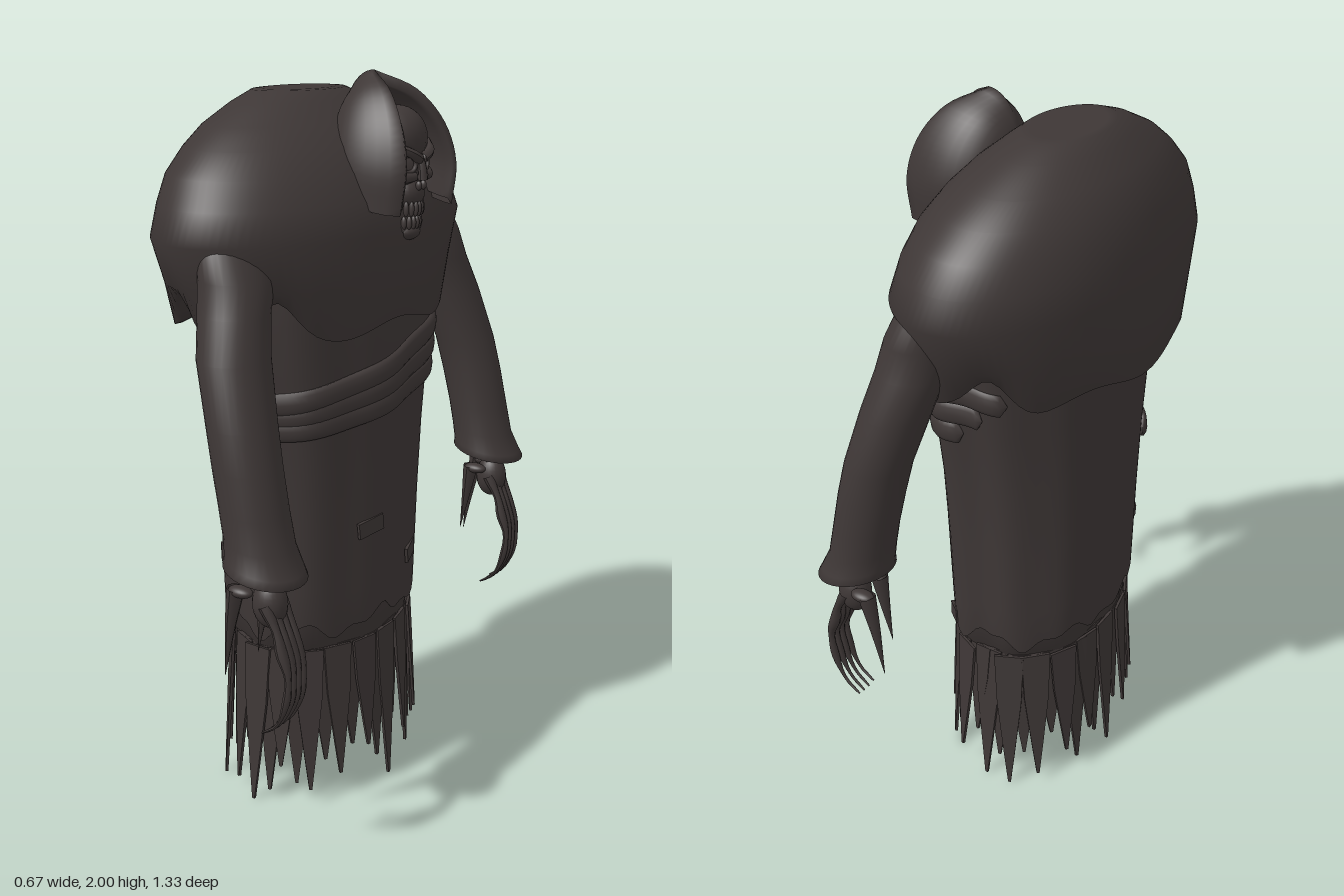
import * as THREE from 'three';

const V = (x, y, z) => new THREE.Vector3(x, y, z);
const TAU = Math.PI * 2;

// Skin a list of point rows; closed joins the last column to the first
function loft(rows, closed = true) {
  const n = rows[0].length, pos = [], index = [];
  rows.forEach(r => r.forEach(p => pos.push(p.x, p.y, p.z)));
  for (let j = 0; j < rows.length - 1; j++) {
    for (let i = 0; i < (closed ? n : n - 1); i++) {
      const k = (i + 1) % n, a = j * n + i, b = j * n + k, c = a + n, d = b + n;
      index.push(a, c, b, b, c, d);
    }
  }
  const g = new THREE.BufferGeometry();
  g.setAttribute('position', new THREE.Float32BufferAttribute(pos, 3));
  g.setIndex(index);
  g.computeVertexNormals();
  return g;
}
// One loop of points, f(angle); angle 0 is +x and a quarter turn is +z
const ring = (n, f) => Array.from({ length: n }, (_, i) => f(i / n * TAU));

// Tube whose radius follows a rule along its length
function taperTube(points, radius, seg = 18, sides = 8) {
  const curve = new THREE.CatmullRomCurve3(points);
  const g = new THREE.TubeGeometry(curve, seg, 1, sides, false);
  const p = g.attributes.position, v = V();
  for (let i = 0; i < p.count; i++) {
    const t = Math.floor(i / (sides + 1)) / seg, c = curve.getPointAt(t);
    v.fromBufferAttribute(p, i).sub(c).multiplyScalar(radius(t)).add(c);
    p.setXYZ(i, v.x, v.y, v.z);
  }
  g.computeVertexNormals();
  return g;
}

// Piecewise linear lookup in [key, value...] rows
function sample(table, y) {
  let i = 0;
  while (i < table.length - 2 && y > table[i + 1][0]) i++;
  const a = table[i], b = table[i + 1];
  const t = THREE.MathUtils.clamp((y - a[0]) / (b[0] - a[0]), 0, 1);
  return a.map((q, k) => q + (b[k] - q) * t);
}

// Robe surface: height, half depth, half width, with vertical folds
const robeSize = [[0.45, 0.225, 0.315], [0.9, 0.235, 0.325], [1.15, 0.243, 0.34], [1.25, 0.246, 0.36], [1.4, 0.248, 0.385], [1.6, 0.24, 0.39]];
function robePoint(a, y, scale = 1, out = 0) {
  const [, hx, hz] = sample(robeSize, y);
  const c = Math.cos(a), s = Math.sin(a);
  const k = scale * (1 + 0.02 * Math.sin(9 * a) + 0.012 * Math.sin(5 * a + 1)) / Math.pow(Math.abs(c) ** 2.25 + Math.abs(s) ** 2.25, 1 / 2.25);
  return V((hx * k + out) * c, y, (hz * k + out) * s);
}

export function createModel() {
  const model = new THREE.Group();
  const cloth = new THREE.MeshStandardMaterial({ color: 0x3e3736, side: THREE.DoubleSide });
  cloth.name = 'charcoal cloth';
  const add = (name, geometry, parent = model) => {
    const m = new THREE.Mesh(geometry, cloth);
    m.name = name;
    parent.add(m);
    return m;
  };
  const group = name => {
    const g = new THREE.Group();
    g.name = name;
    model.add(g);
    return g;
  };
  const ball = (name, parent, x, y, z, rx, ry, rz) => {
    const m = add(name, new THREE.SphereGeometry(1, 24, 16), parent);
    m.position.set(x, y, z);
    m.scale.set(rx, ry, rz);
  };

  // Long robe with a ragged hem
  const N = 96;
  const robeHem = a => 0.53 + 0.022 * Math.sin(7 * a + 0.6) + 0.012 * Math.sin(16 * a);
  const robeRows = [ring(N, a => robePoint(a, robeHem(a) + 0.02, 0.9)), ring(N, a => robePoint(a, robeHem(a), 0.98))];
  for (const y of [0, 0.1, 0.3, 0.5, 0.7, 0.85, 1]) robeRows.push(ring(N, a => robePoint(a, THREE.MathUtils.lerp(robeHem(a), 1.55, y))));
  add('robe', loft(robeRows));
  // Inner skirt, closed underneath
  add('underskirt', loft([[0.5, 0.01], [0.5, 0.8], [0.465, 0.92], [0.6, 0.95]].map(([y, k]) => ring(N, a => robePoint(a, y, k)))));

  // Torn strips hanging below the skirt, in two layers
  const strips = group('tornStrips');
  const tips = [0, 0.1, 0.05, 0.14, 0.03, 0.12, 0.08];
  for (let layer = 0; layer < 2; layer++) {
    const count = 20;
    for (let i = 0; i < count; i++) {
      const a = (i + layer * 0.5) / count * TAU;
      const tip = i % 5 === 0 && layer === 0 ? 0 : tips[(i * 3 + layer * 2) % 7] + 0.03 * layer;
      const top = robePoint(a, 0.47, 0.94 - 0.04 * layer);
      const low = robePoint(a, 0.47, 1.03 - 0.06 * layer);
      const L = 0.47 - tip, w = 0.042;
      const s = new THREE.Shape([[-w, 0], [-w * 0.85, -L * 0.35], [-w * 0.4, -L * 0.75], [-0.004, -L], [0.004, -L], [w * 0.4, -L * 0.75], [w * 0.85, -L * 0.35], [w, 0]].map(p => new THREE.Vector2(...p)));
      const m = add('tornStrip', new THREE.ExtrudeGeometry(s, { depth: 0.008, bevelEnabled: false }), strips);
      m.position.copy(top);
      m.rotation.order = 'YXZ';
      m.rotation.y = Math.atan2(Math.cos(a) / 0.22, Math.sin(a) / 0.31);
      m.rotation.x = -Math.atan2(Math.hypot(low.x - top.x, low.z - top.z), L);
    }
  }

  // Slanted sash wraps round the front and sides
  const sash = group('sash');
  for (let k = 0; k < 3; k++) {
    const rows = [], steps = 64, a0 = -1.5 - 0.27 * k, a1 = 2.45 - 0.2 * k;
    for (let i = 0; i <= steps; i++) {
      const a = a0 + (a1 - a0) * i / steps, end = i === 0 || i === steps ? 0.02 : 1;
      const y = 1.165 + 0.05 * k - (0.055 + 0.015 * k) * Math.sin(a) - 0.13 * Math.max(0, a - 1.4);
      rows.push(ring(10, b => {
        const p = robePoint(a, y, 1, 0.006 + 0.013 * Math.cos(b) * end);
        p.y -= 0.031 * Math.sin(b) * end;
        return p;
      }));
    }
    add('sashWrap', loft(rows), sash);
  }

  // Small sewn patches: angle, height, width, tilt
  const patches = group('patches');
  const spots = [[0.3, 0.81, 0.09, 0.12], [-0.4, 0.66, 0.07, 0.2], [-1.05, 0.55, 0.05, 0], [1.62, 0.92, 0.08, 0.1], [1.68, 0.71, 0.07, 0.12], [2.25, 0.7, 0.05, 0.2], [2.2, 0.96, 0.05, 0.15]];
  for (const [a, y, w, tilt] of spots) {
    const m = add('patch', new THREE.BoxGeometry(w, 0.045, 0.009), patches);
    m.position.copy(robePoint(a, y, 1, 0.001));
    m.rotation.order = 'YXZ';
    m.rotation.y = Math.atan2(Math.cos(a) / 0.23, Math.sin(a) / 0.32);
    m.rotation.z = tilt;
  }

  // Hunched shoulder mantle with a wavy hem
  const mantleHem = a => {
    const d = Math.abs(a > Math.PI ? a - TAU : a);
    return 1.37 + 0.08 * Math.exp(-(((d - 1.9) / 0.2) ** 2)) + 0.08 * Math.exp(-(((d - 1.0) / 0.18) ** 2)) + 0.016 * Math.sin(7 * a + 1);
  };
  const oval = (xc, hx, hz, y) => ring(N, a => V(xc + hx * Math.cos(a), typeof y === 'function' ? y(a) : y, hz * Math.sin(a)));
  add('mantle', loft([
    oval(-0.015, 0.22, 0.37, a => mantleHem(a) + 0.04),
    oval(-0.03, 0.285, 0.44, a => mantleHem(a) + 0.003),
    oval(-0.03, 0.303, 0.46, mantleHem),
    oval(-0.03, 0.307, 0.5, 1.49),
    ...[[1.61, -0.028, 0.307, 0.557], [1.69, -0.035, 0.29, 0.527], [1.76, -0.045, 0.265, 0.488], [1.82, -0.055, 0.23, 0.42], [1.87, -0.065, 0.19, 0.345], [1.92, -0.072, 0.135, 0.24], [1.948, -0.075, 0.1, 0.16], [1.95, -0.075, 0.08, 0.13], [1.95, -0.075, 0.001, 0.001]].map(([y, xc, hx, hz]) => oval(xc, hx, hz, y)),
  ]));

  // Sleeves and hands; rows are height, x, z, half depth, half width, cuff tilt
  const sleeveRows = [[0.93, 0.21, 0.557, 0.01, 0.01, 0], [0.9, 0.215, 0.557, 0.08, 0.075, 0.01], [0.855, 0.225, 0.562, 0.096, 0.094, 0.02], [0.85, 0.228, 0.563, 0.106, 0.103, 0.02], [0.87, 0.224, 0.56, 0.1, 0.096, 0.02], [0.92, 0.207, 0.557, 0.09, 0.088, 0.015], [1.0, 0.19, 0.555, 0.088, 0.086, 0.01], [1.1, 0.168, 0.55, 0.087, 0.086, 0], [1.2, 0.145, 0.54, 0.086, 0.09, 0], [1.35, 0.1, 0.51, 0.088, 0.096, 0], [1.45, 0.075, 0.475, 0.09, 0.09, 0], [1.53, 0.06, 0.445, 0.09, 0.1, 0], [1.62, 0.03, 0.42, 0.08, 0.11, 0], [1.68, 0.01, 0.38, 0.06, 0.08, 0]];
  for (const s of [1, -1]) {
    const side = s > 0 ? 'left' : 'right';
    add(side + 'Sleeve', loft(sleeveRows.map(([y, x, z, rx, rz, t]) => ring(32, a => V(x + rx * Math.cos(a), y - t * Math.cos(a), s * z + rz * Math.sin(a))))));

    const hand = group(side + 'Hand');
    add('wrist', taperTube([V(0.22, 0.92, s * 0.56), V(0.235, 0.85, s * 0.562), V(0.24, 0.78, s * 0.564)], () => 0.026), hand);
    ball('palm', hand, 0.242, 0.765, s * 0.564, 0.046, 0.064, 0.042);
    for (let f = 0; f < 4; f++) {
      const z = s * (0.532 + 0.021 * f), drop = Math.abs(f - 1.5) * 0.004;
      add('finger', taperTube([
        V(0.25, 0.77, z), V(0.285, 0.705, z), V(0.297, 0.66, z), V(0.317, 0.6, z),
        V(0.31, 0.52, z), V(0.28, 0.45, z), V(0.235, 0.41 + drop, z),
      ], t => (0.014 + 0.003 * Math.cos(t * 19)) * (1 - t * t * 0.85)), hand);
    }
    // Straight spurs behind the palm
    for (const [x0, x1, y1, z] of [[0.168, 0.128, 0.55, 0.605], [0.195, 0.165, 0.59, 0.517]]) {
      add('spur', taperTube([V(x0, 0.8, s * z), V((x0 + x1) / 2, 0.69, s * z), V(x1, y1, s * z)], t => 0.023 * (1.03 - t)), hand);
      ball('knuckle', hand, x0 + 0.015, 0.795, s * z, 0.035, 0.015, 0.022);
    }
  }

  // Pointed hood: shell from a rear pole to an arched rim, then back inside
  const rim = new THREE.CatmullRomCurve3([V(0.16, 2, 0), V(0.25, 1.953, 0.062), V(0.31, 1.87, 0.103), V(0.334, 1.77, 0.125), V(0.323, 1.66, 0.126)]);
  const hoodRow = (q, inner) => Array.from({ length: 41 }, (_, i) => {
    const t = (i - 20) / 20, r = rim.getPoint(Math.abs(t)), e = q * Math.PI / 2;
    if (inner) r.set(r.x - 0.004, 1.8 + (r.y - 1.8) * 0.87, r.z * 0.87);
    const px = inner ? 0.1 : 0.07, py = inner ? 1.85 : 1.87;
    // the sides bulge out before closing in towards the rim
    return V(px + (r.x - px) * (1 - Math.cos(e)), py + (r.y - py) * Math.sin(e), Math.sign(t) * r.z * Math.sin(e * 1.4) / Math.sin(0.7 * Math.PI));
  });
  const qs = Array.from({ length: 13 }, (_, i) => i / 12);
  add('hood', loft([...qs.map(q => hoodRow(Math.max(q, 0.01), false)), ...qs.slice().reverse().map(q => hoodRow(Math.max(q, 0.01), true))], false));

  // Skull face
  const skull = group('skull');
  ball('cranium', skull, 0.228, 1.835, 0, 0.078, 0.082, 0.088);
  ball('upperJaw', skull, 0.262, 1.7, 0, 0.045, 0.045, 0.052);
  ball('faceBone', skull, 0.25, 1.76, 0, 0.05, 0.06, 0.078);
  ball('chin', skull, 0.268, 1.602, 0, 0.03, 0.022, 0.04);
  add('noseBridge', taperTube([V(0.298, 1.8, 0), V(0.308, 1.765, 0), V(0.311, 1.735, 0)], t => 0.009 + 0.004 * t), skull);
  for (const s of [1, -1]) {
    add('brow', taperTube([V(0.302, 1.788, s * 0.008), V(0.303, 1.803, s * 0.04), V(0.272, 1.825, s * 0.08)], t => 0.015 - 0.006 * t), skull);
    const socket = add('eyeSocket', new THREE.TorusGeometry(0.022, 0.006, 8, 20), skull);
    socket.position.set(0.293, 1.778, s * 0.04);
    socket.rotation.y = Math.PI / 2 - s * 0.35;
    add('cheekbone', taperTube([V(0.298, 1.745, s * 0.022), V(0.292, 1.745, s * 0.055), V(0.25, 1.765, s * 0.085)], () => 0.013), skull);
    add('jawBone', taperTube([V(0.22, 1.73, s * 0.07), V(0.235, 1.655, s * 0.058), V(0.275, 1.607, s * 0.03)], () => 0.013), skull);
    ball('nostril', skull, 0.305, 1.722, s * 0.011, 0.009, 0.012, 0.007);
  }
  for (let i = -3; i <= 3; i++) {
    const z = i * 0.0125, x = 0.3 - 10.5 * z * z;
    ball('upperTooth', skull, x, 1.664, z, 0.008, 0.02, 0.006);
    ball('lowerTooth', skull, x - 0.006, 1.628, z, 0.008, 0.017, 0.006);
  }
  return model;
}
